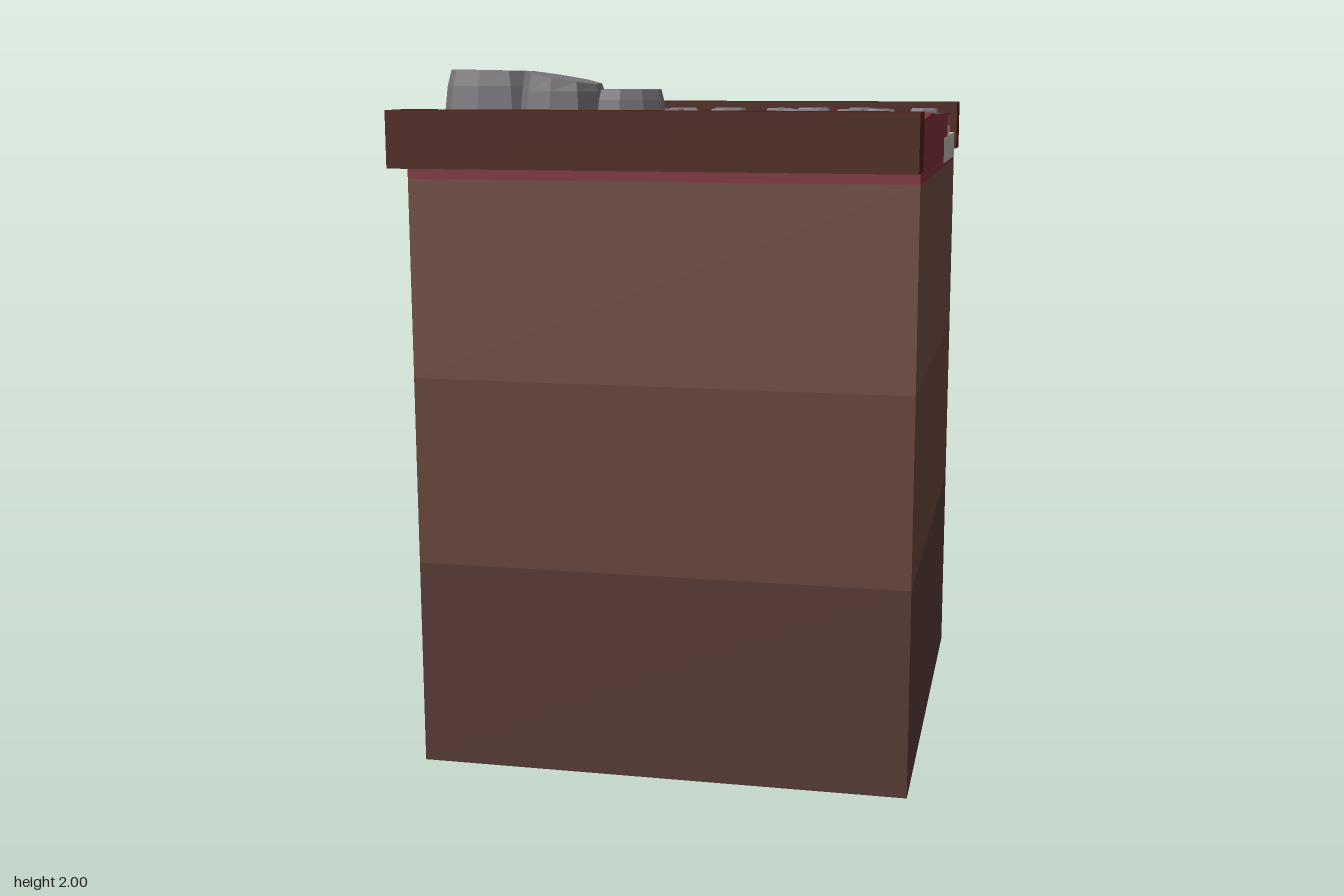
import * as THREE from 'three';

const mat = (color, extra = {}) => new THREE.MeshStandardMaterial({ color, ...extra });
const H = 0.706; // half width of the block

export function createModel() {
  const group = new THREE.Group();
  const add = (name, geometry, material, parent = group) => {
    const mesh = new THREE.Mesh(geometry, material);
    mesh.name = name;
    parent.add(mesh);
    return mesh;
  };
  const box = (name, x, y0, y1, z0, z1, material) =>
    add(name, new THREE.BoxGeometry(2 * x, y1 - y0, z1 - z0), material)
      .position.set(0, (y0 + y1) / 2, (z0 + z1) / 2);

  // Stacked earth layers
  box('lowerEarth', H, 0, 0.6, -H, H, mat(0x563a34));
  box('middleEarth', H, 0.6, 1.14, -H, H, mat(0x66443b));
  box('upperEarth', H, 1.14, 1.7, -H, H, mat(0x6e4b41));

  // Red ground: a stepped side profile [z, y] drawn across the width
  const red = mat(0x7c2f39, { flatShading: true, side: THREE.DoubleSide });
  const profile = [[H, 1.7], [-H, 1.7], [-H, 1.71], [-0.19, 1.71], [-0.19, 1.79], [-0.34, 1.79],
    [-0.34, 1.862], [-0.1, 1.867], [0.2, 1.87], [0.32, 1.878], [0.45, 1.872], [H, 1.865]];
  const ground = new THREE.ExtrudeGeometry(
    new THREE.Shape(profile.map(([z, y]) => new THREE.Vector2(z, y))),
    { depth: 2 * H, bevelEnabled: false });
  ground.rotateY(-Math.PI / 2).translate(H, 0, 0);
  add('redGround', ground, red);

  // Hollow, ragged ledge that hangs over the path
  const N = 24, M = 4;
  const lip = new THREE.PlaneGeometry(1, 1, N, M);
  const p = lip.attributes.position;
  for (let j = 0; j <= M; j++) {
    for (let i = 0; i <= N; i++) {
      const x = -H + (2 * H * i) / N;
      const wave = 0.008 * Math.sin(9 * x + 1) + 0.005 * Math.sin(23 * x);
      const z = [-0.34, -0.42, -0.446, -0.452, -0.444][j] + (j ? wave * (j === 1 ? 0.5 : 1) : 0);
      const y = [1.862, 1.86, 1.85, 1.82, 1.79][j] + (j === 2 ? 0.6 * wave : 0);
      p.setXYZ(j * (N + 1) + i, x, y, z);
    }
  }
  lip.computeVertexNormals();
  add('ledge', lip, red);

  // Pale path and the two wooden rails
  box('path', H, 1.71, 1.79, -H, -0.19, mat(0xb6b6b4));
  const wood = mat(0x4a1c0e);
  box('frontRail', 0.713, 1.735, 1.89, H, 0.842, wood);
  box('backRail', 0.713, 1.735, 1.89, -0.845, -0.71, wood);

  // Faceted stone: a drum with an uneven outline and a narrower top
  const stone = mat(0x7b777c, { flatShading: true });
  const rock = (name, x, z, rx, rz, y0, y1, sides, seed, tilt, inset, parent) => {
    const g = new THREE.CylinderGeometry(1, 1, 1, sides, 2);
    const q = g.attributes.position;
    for (let i = 0; i < q.count; i++) {
      const t = q.getY(i) + 0.5;
      const a = Math.atan2(q.getZ(i), q.getX(i));
      const r = (t > 0.9 ? inset : t > 0.4 ? 0.5 + inset / 2 : 1)
        * (1 + 0.05 * Math.sin(2 * a + seed) + 0.04 * Math.sin(3 * a + 2 * seed));
      const px = q.getX(i) * r * rx;
      q.setXYZ(i, px, y0 + (y1 - y0) * (t > 0.4 && t < 0.9 ? 0.7 : t) + (t > 0.9 ? tilt * px : 0),
        q.getZ(i) * r * rz);
    }
    g.computeVertexNormals();
    add(name, g, stone, parent).position.set(x, 0, z);
  };

  // Cluster of three boulders
  const boulders = new THREE.Group();
  boulders.name = 'boulders';
  group.add(boulders);
  rock('largeBoulder', -0.53, 0.47, 0.145, 0.15, 1.85, 1.995, 9, 1, -0.02, 0.83, boulders);
  rock('middleBoulder', -0.305, 0.525, 0.115, 0.155, 1.85, 1.975, 9, 2.5, -0.18, 0.87, boulders);
  rock('smallBoulder', -0.115, 0.525, 0.1, 0.125, 1.85, 1.943, 9, 4, 0, 0.86, boulders);

  // Scattered paving pebbles: [x, z, x radius, z radius]
  const pebbles = new THREE.Group();
  pebbles.name = 'pebbles';
  group.add(pebbles);
  [[-0.65, -0.07, 0.053, 0.063], [-0.47, -0.03, 0.04, 0.047], [-0.53, 0.09, 0.053, 0.063],
    [-0.335, 0.07, 0.062, 0.053], [-0.09, -0.06, 0.056, 0.053], [-0.105, 0.09, 0.053, 0.063],
    [0.045, -0.12, 0.06, 0.055], [0.07, 0.07, 0.062, 0.053], [0.21, -0.08, 0.053, 0.063],
    [0.305, -0.155, 0.06, 0.053], [0.34, -0.03, 0.038, 0.046], [0.29, 0.09, 0.053, 0.062],
    [0.455, -0.14, 0.052, 0.063], [0.52, -0.03, 0.04, 0.047], [0.445, 0.08, 0.053, 0.063],
    [0.55, 0.11, 0.04, 0.047], [0.645, -0.16, 0.05, 0.062]]
    .forEach(([x, z, rx, rz], i) =>
      rock('pebble', x, z, rx, rz, 1.855, 1.881, 6, i * 1.7, 0, 0.8, pebbles));

  return group;
}
